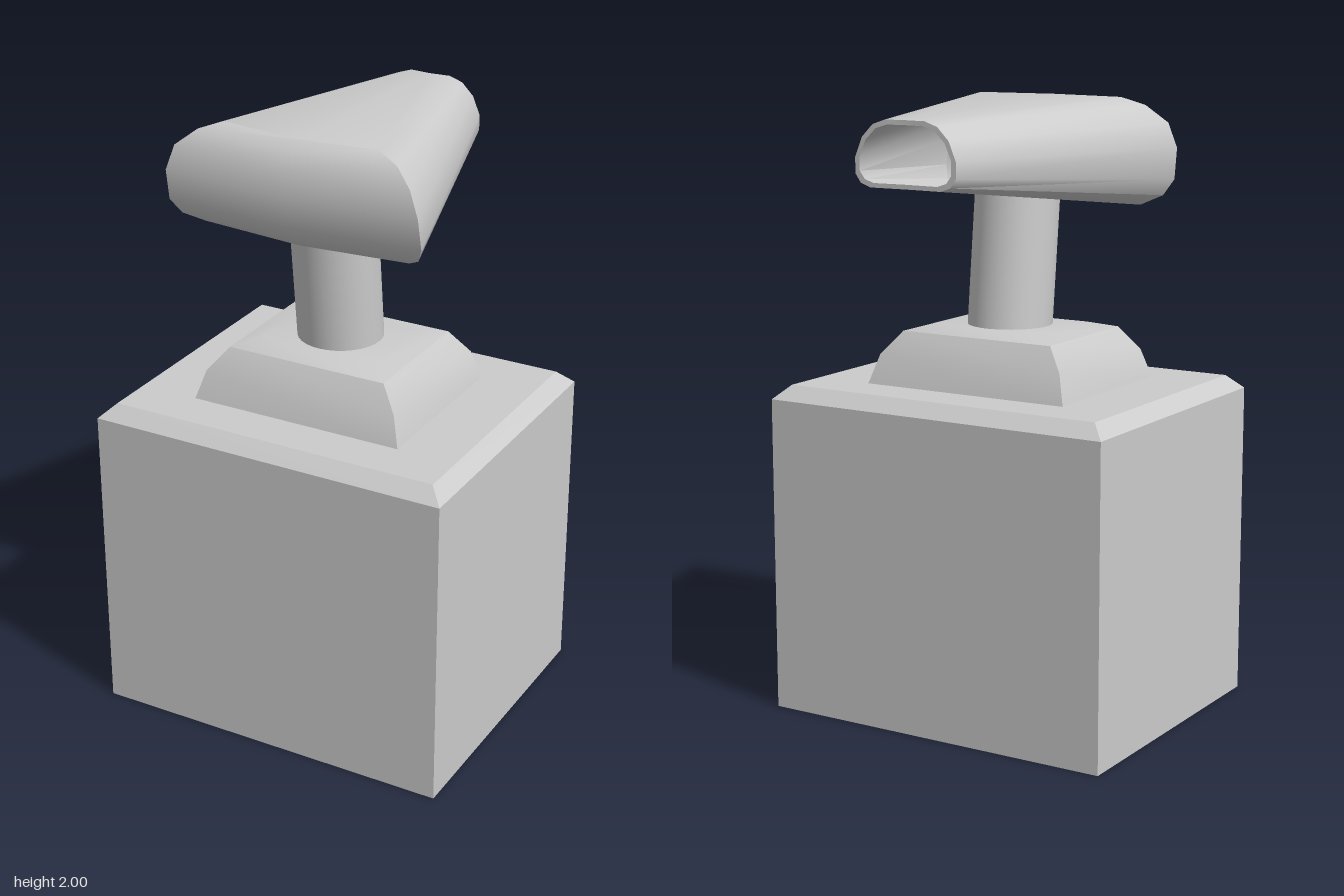
import * as THREE from 'three';
import { toCreasedNormals } from 'three/addons/utils/BufferGeometryUtils.js';

const material = () => new THREE.MeshStandardMaterial({ color: 0xcccccc });

function makeMesh(name, triangles, crease) {
  const geo = new THREE.BufferGeometry();
  geo.setAttribute('position', new THREE.Float32BufferAttribute(triangles.flat(), 3));
  const mesh = new THREE.Mesh(toCreasedNormals(geo, crease), material());
  mesh.name = name;
  return mesh;
}

// Join successive closed rings of points with quads
function loft(rings) {
  const out = [];
  for (let r = 0; r < rings.length - 1; r++) {
    const a = rings[r], b = rings[r + 1], n = a.length;
    for (let i = 0; i < n; i++) {
      const j = (i + 1) % n;
      out.push(a[i], a[j], b[i], a[j], b[j], b[i]);
    }
  }
  return out;
}

// Stack of rectangles, each level [y, half width, half depth]
function steppedBlock(name, levels, z) {
  const rings = levels.map(([y, w, d]) =>
    [[w, y, z + d], [w, y, z - d], [-w, y, z - d], [-w, y, z + d]]);
  const b = rings[0], t = rings[rings.length - 1];
  const caps = [b[0], b[2], b[1], b[0], b[3], b[2], t[0], t[1], t[2], t[0], t[2], t[3]];
  return makeMesh(name, [...loft(rings), ...caps], 0.5);
}

// Hollow flared head: a wide closed front tapering to a small open mouth
function makeHead() {
  // Top to bottom: front +x, front -x, front y, front z, mouth half width, mouth y
  const rows = [
    [0.25, -0.28, 2.0, 0.275, 0.07, 1.965],
    [0.33, -0.35, 1.975, 0.31, 0.115, 1.95],
    [0.385, -0.42, 1.92, 0.335, 0.155, 1.91],
    [0.42, -0.445, 1.84, 0.35, 0.18, 1.85],
    [0.425, -0.445, 1.74, 0.335, 0.18, 1.8],
    [0.4, -0.42, 1.69, 0.305, 0.16, 1.772],
    [0.35, -0.36, 1.66, 0.265, 0.125, 1.76],
  ];
  const bulge = 0.035, last = rows.length - 1;
  const ring = (right, middle, left) => [
    middle(rows[0]), ...rows.map(right), middle(rows[last]), ...[...rows].reverse().map(left)];

  const front = ring(
    r => [r[0], r[2], r[3]],
    r => [(r[0] + r[1]) / 2, r[2], r[3] + bulge],
    r => [r[1], r[2], r[3]]);
  const mouth = ring(
    r => [r[4], r[5], -0.548],
    r => [0, r[5], -0.542],
    r => [-r[4], r[5], -0.548]);

  // Inner wall, shrunk towards the middle of each section
  const shrink = (pts, cx, cy, sx, sy) =>
    pts.map(([x, y, z]) => [cx + (x - cx) * sx, cy + (y - cy) * sy, z]);
  const innerMouth = shrink(mouth, 0, 1.86, 0.91, 0.86);
  const deep = front.map((p, i) => p.map((v, k) => v + (mouth[i][k] - v) * 0.06));
  const innerFront = shrink(deep, -0.01, 1.83, 0.96, 0.91);

  // Fill a ring with strips between its two sides and a raised centre line
  const cap = (pts, flip) => {
    const n = pts.length, grid = [], out = [];
    for (let i = 1; i < n / 2; i++) {
      const R = pts[i], L = pts[n - i];
      grid.push([L, [(L[0] + R[0]) / 2, R[1], R[2] + bulge], R]);
    }
    for (let i = 0; i < grid.length - 1; i++) for (let c = 0; c < 2; c++) {
      const a = grid[i][c], b = grid[i][c + 1], d = grid[i + 1][c], e = grid[i + 1][c + 1];
      out.push(...(flip ? [a, b, d, b, e, d] : [a, d, b, b, d, e]));
    }
    return out;
  };

  return makeMesh('head', [
    ...loft([front, mouth, innerMouth, innerFront]),
    ...cap(front, false), ...cap(innerFront, true)], 0.65);
}

export function createModel() {
  const group = new THREE.Group();

  // Block with a bevelled upper edge
  group.add(steppedBlock('base', [
    [0, 0.607, 0.49], [1.04, 0.607, 0.49], [1.085, 0.56, 0.443]], 0.06));

  // Domed square collar
  group.add(steppedBlock('collar', [
    [1.08, 0.365, 0.295], [1.18, 0.335, 0.265], [1.255, 0.275, 0.22], [1.275, 0.2, 0.145]], 0.06));

  // Post leaning forward into the head
  const bottom = new THREE.Vector3(0, 1.24, 0.05), top = new THREE.Vector3(0, 1.69, 0.098);
  const axis = top.clone().sub(bottom);
  const post = new THREE.Mesh(new THREE.CylinderGeometry(0.138, 0.138, axis.length(), 32), material());
  post.name = 'post';
  post.position.copy(bottom).add(top).multiplyScalar(0.5);
  post.rotation.x = Math.atan2(axis.z, axis.y);
  group.add(post);

  group.add(makeHead());
  return group;
}
